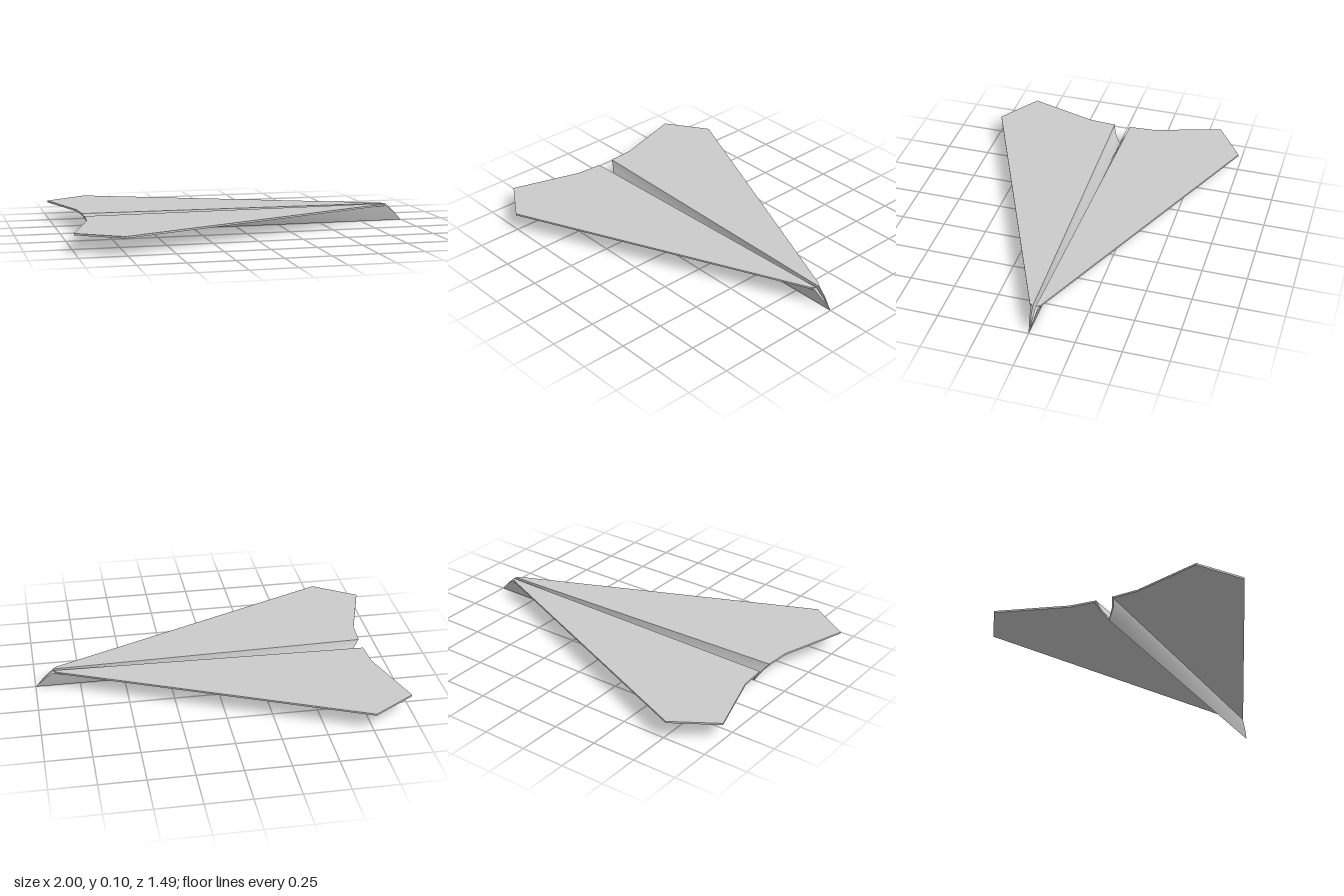
import * as THREE from 'three';
import { toCreasedNormals } from 'three/addons/utils/BufferGeometryUtils.js';

const STEPS = 12;

// Fold lines run tail -> nose as [x, y, z, x, y, z]; each has a lower (outer) and upper (inner) skin.
const keel = {
  lower: [[-0.81, 0, 0, 1, 0, 0], [-0.84, 0.055, 0.041, 0.95, 0.05, 0.012], [-0.87, 0.09, 0.055, 0.9, 0.09, 0.02]],
  upper: [[-0.81, 0.012, 0, 0.985, 0.012, 0], [-0.84, 0.058, 0.033, 0.95, 0.055, 0.004], [-0.87, 0.1, 0.048, 0.9, 0.1, 0.008]],
};
const wing = {
  lower: [[-0.87, 0.09, 0.055, 0.9, 0.09, 0.02], [-0.88, 0.09, 0.2, 0.88, 0.09, 0.03], [-1, 0.09, 0.59, -0.76, 0.09, 0.747]],
  upper: [[-0.87, 0.1, 0.048, 0.9, 0.1, 0.008], [-0.88, 0.1, 0.2, 0.88, 0.1, 0.03], [-1, 0.1, 0.59, -0.76, 0.1, 0.747]],
};

// Closed sheet of paper lofted between the fold lines, mirrored when side is -1.
function sheet({ lower, upper }, side, crease) {
  const n = lower.length;
  const ring = [...lower, ...[...upper].reverse()];
  const row = STEPS + 1;
  const pos = [];
  const index = [];
  for (const l of ring) {
    for (let j = 0; j < row; j++) {
      const t = j / STEPS;
      pos.push(
        THREE.MathUtils.lerp(l[0], l[3], t),
        THREE.MathUtils.lerp(l[1], l[4], t),
        side * THREE.MathUtils.lerp(l[2], l[5], t)
      );
    }
  }
  const tri = (a, b, c) => (side > 0 ? index.push(a, b, c) : index.push(a, c, b));
  const quad = (a, b, c, d) => { tri(a, b, c); tri(a, c, d); };

  // Skins and long edges
  for (let i = 0; i < ring.length; i++) {
    const k = (i + 1) % ring.length;
    for (let j = 0; j < STEPS; j++) {
      quad(i * row + j, i * row + j + 1, k * row + j + 1, k * row + j);
    }
  }
  // Tail and nose edges
  for (let i = 0; i < n - 1; i++) {
    const corners = [i, i + 1, ring.length - 2 - i, ring.length - 1 - i].map((c) => c * row);
    quad(...corners);
    quad(...corners.reverse().map((c) => c + STEPS));
  }

  const geo = new THREE.BufferGeometry();
  geo.setAttribute('position', new THREE.Float32BufferAttribute(pos, 3));
  geo.setIndex(index);
  return toCreasedNormals(geo, crease);
}

export function createModel() {
  const group = new THREE.Group();
  group.name = 'paperPlane';
  const paper = new THREE.MeshStandardMaterial({ color: 0xcccccc, side: THREE.DoubleSide });
  const add = (name, part, side) => {
    const mesh = new THREE.Mesh(sheet(part, side, 0.8), paper);
    mesh.name = name;
    group.add(mesh);
  };
  for (const [label, side] of [['front', 1], ['back', -1]]) {
    add(label + 'Keel', keel, side);
    add(label + 'Wing', wing, side);
  }
  return group;
}
